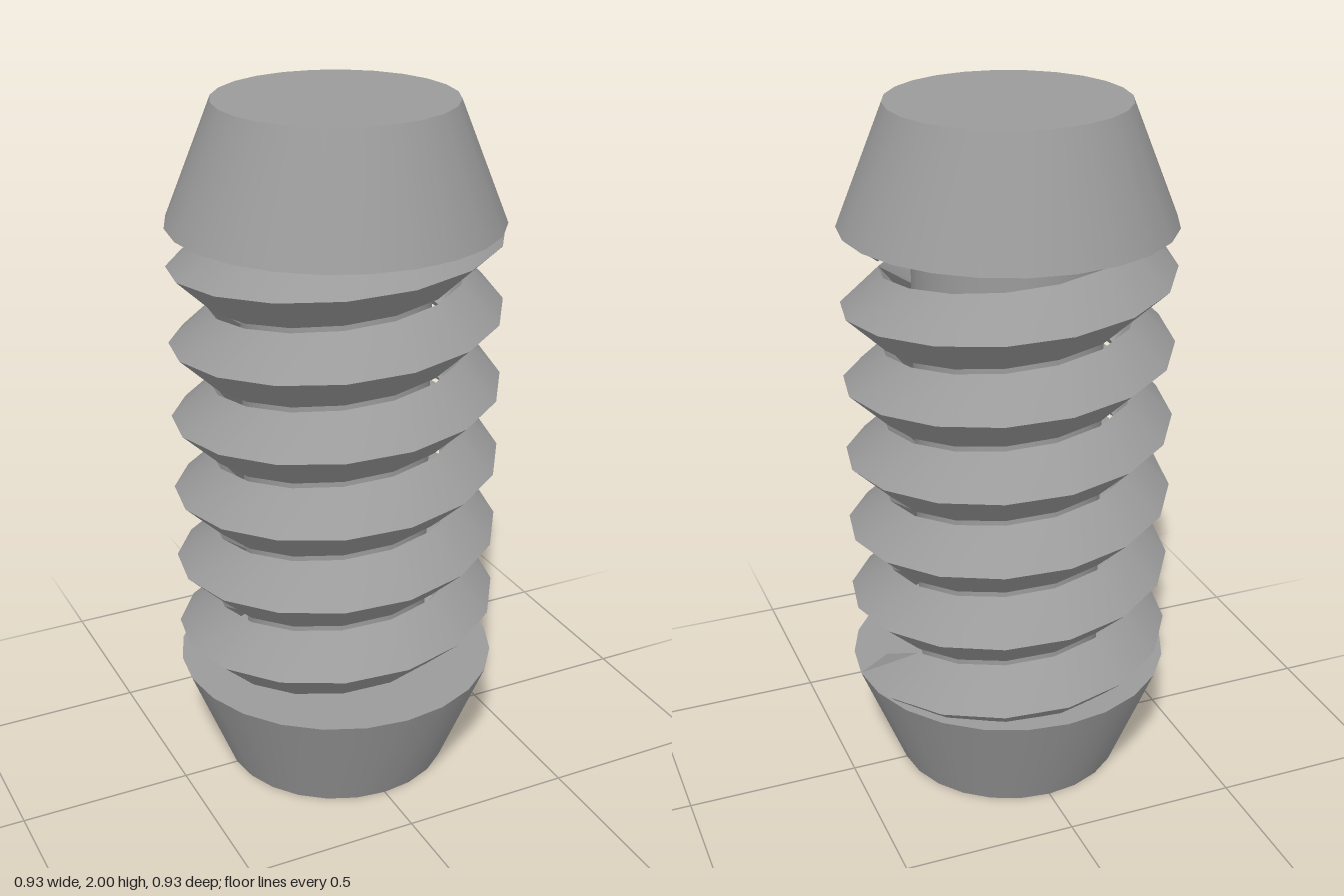
import * as THREE from 'three';
import { toCreasedNormals } from 'three/addons/utils/BufferGeometryUtils.js';

const material = new THREE.MeshStandardMaterial({ color: 0x9b9b9b });

// Adds a straight or tapered round part between two heights
function addRound(group, name, rTop, rBottom, y0, y1) {
  const geo = new THREE.CylinderGeometry(rTop, rBottom, y1 - y0, 24);
  const mesh = new THREE.Mesh(toCreasedNormals(geo, 0.5), material);
  mesh.position.y = (y0 + y1) / 2;
  mesh.name = name;
  group.add(mesh);
}

// Triangular ridge swept up a helix, its section leaning along the path
function threadGeometry(y0, pitch, turns, sides) {
  // Section corners: radius, height, angle of lean
  const crest = [0.466, 0, 0];
  const upper = [0.357, 0.104, 0.39];
  const lower = [0.357, -0.104, -0.39];
  // Corners where the ends run out against the caps
  const startFoot = [0.375, 0, -0.23];
  const endFoot = [0.375, 0, 0.23];

  const positions = [];
  const index = [];
  const rings = turns * sides;
  for (let i = 0; i <= rings; i++) {
    const section = [crest, i === rings ? endFoot : upper, i === 0 ? startFoot : lower];
    for (const [r, dy, lean] of section) {
      const a = (i / sides) * Math.PI * 2 + lean;
      positions.push(r * Math.cos(a), y0 + (pitch * a) / (Math.PI * 2) + dy, -r * Math.sin(a));
    }
  }
  for (let i = 0; i < rings; i++) {
    for (let j = 0; j < 3; j++) {
      const a = i * 3 + j;
      const b = i * 3 + ((j + 1) % 3);
      index.push(a, a + 3, b, b, a + 3, b + 3);
    }
  }
  // End faces
  const e = rings * 3;
  index.push(0, 1, 2, e, e + 2, e + 1);
  const geo = new THREE.BufferGeometry();
  geo.setAttribute('position', new THREE.Float32BufferAttribute(positions, 3));
  geo.setIndex(index);
  return toCreasedNormals(geo, 0.6);
}

export function createModel() {
  const group = new THREE.Group();
  group.name = 'wormScrew';

  // Tapered ends and the shaft between them
  addRound(group, 'bottomCap', 0.466, 0.333, 0, 0.333);
  addRound(group, 'shaft', 0.267, 0.267, 0.32, 1.68);
  addRound(group, 'topCap', 0.333, 0.466, 1.667, 2);

  // Six turns of thread
  const thread = new THREE.Mesh(threadGeometry(0.333, 1.334 / 6, 6, 16), material);
  thread.name = 'thread';
  group.add(thread);

  return group;
}
